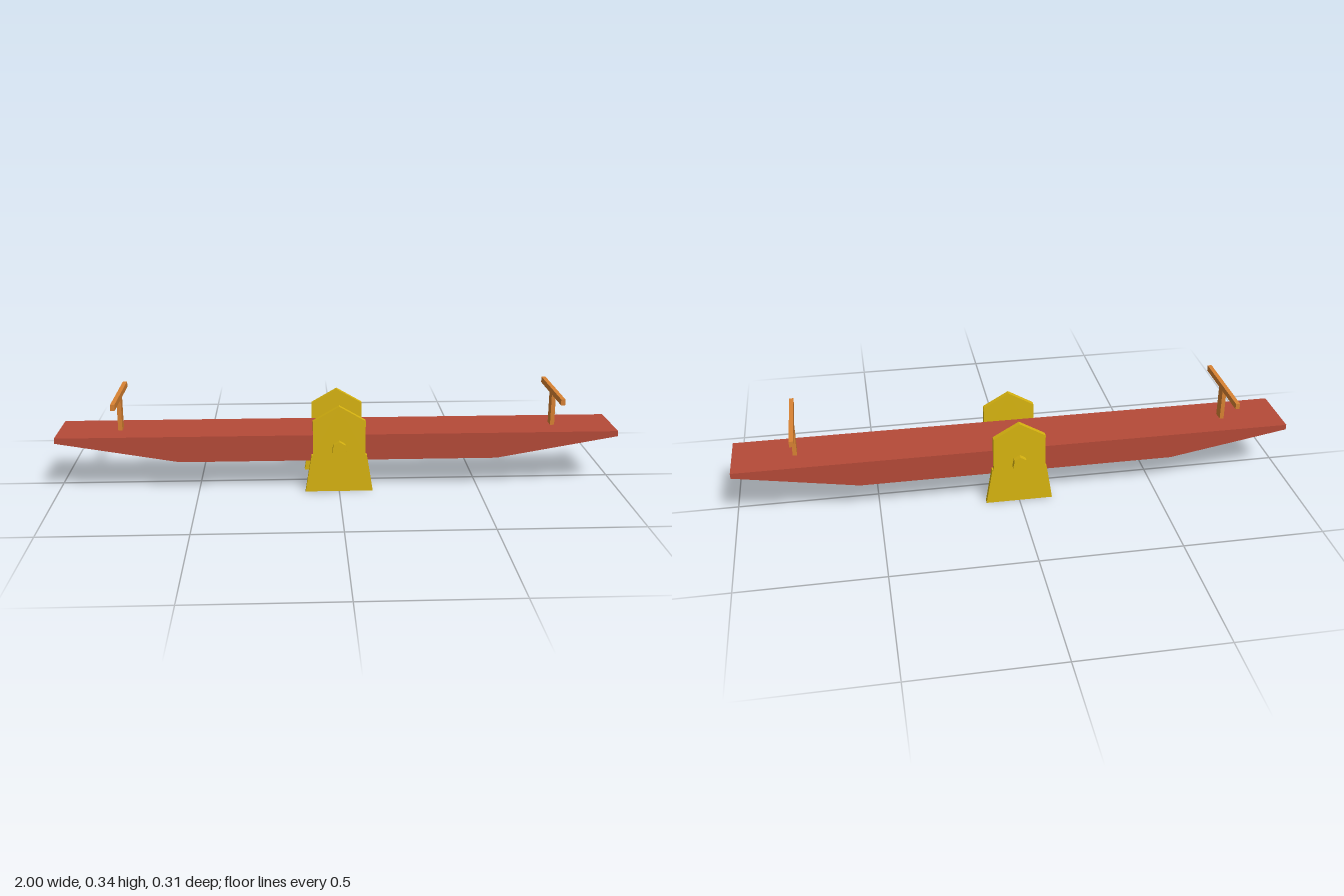
import * as THREE from 'three';

const material = (name, color) => {
  const m = new THREE.MeshStandardMaterial({ color, flatShading: true });
  m.name = name;
  return m;
};

// Extrudes an x-y outline along z, centred on z = 0
function slab(points, depth) {
  const shape = new THREE.Shape(points.map(([x, y]) => new THREE.Vector2(x, y)));
  return new THREE.ExtrudeGeometry(shape, { depth, bevelEnabled: false }).translate(0, 0, -depth / 2);
}

export function createModel() {
  const red = material('red paint', 0xb54a38);
  const yellow = material('yellow paint', 0xd8b410);
  const orange = material('orange paint', 0xd88232);
  const model = new THREE.Group();
  model.name = 'seesaw';

  const add = (parent, name, geometry, mat, x = 0, y = 0, z = 0) => {
    const mesh = new THREE.Mesh(geometry, mat);
    mesh.name = name;
    mesh.position.set(x, y, z);
    parent.add(mesh);
  };

  // Plank with tapered underside
  add(model, 'plank', slab([
    [-1, 0.185], [-0.565, 0.11], [0.565, 0.11], [1, 0.185], [1, 0.204], [-1, 0.204],
  ], 0.21), red);

  // Pointed side supports with seven-sided pivot bolts
  const supportShape = slab([
    [-0.12, 0], [0.12, 0], [0.098, 0.135], [0.093, 0.135], [0.093, 0.26],
    [0, 0.314], [-0.093, 0.26], [-0.093, 0.135], [-0.098, 0.135],
  ], 0.02);
  const boltOutline = Array.from({ length: 7 }, (_, i) => {
    const a = Math.PI / 2 + (i / 7) * Math.PI * 2;
    return [0.027 * Math.cos(a), 0.034 * Math.sin(a)];
  });
  const boltShape = slab(boltOutline, 0.02);
  for (const side of [1, -1]) {
    const support = new THREE.Group();
    support.name = side > 0 ? 'frontSupport' : 'backSupport';
    add(support, 'supportPlate', supportShape, yellow, 0, 0, side * 0.116);
    add(support, 'pivotBolt', boltShape, yellow, 0, 0.156, side * 0.136);
    model.add(support);
  }

  // T-shaped handles
  for (const side of [1, -1]) {
    const handle = new THREE.Group();
    handle.name = side > 0 ? 'leftHandle' : 'rightHandle';
    handle.position.x = side * 0.781;
    add(handle, 'handlePost', new THREE.BoxGeometry(0.015, 0.115, 0.038), orange, 0, 0.2605, 0);
    add(handle, 'handleBar', new THREE.BoxGeometry(0.015, 0.021, 0.312), orange, 0, 0.3285, 0);
    model.add(handle);
  }

  return model;
}
